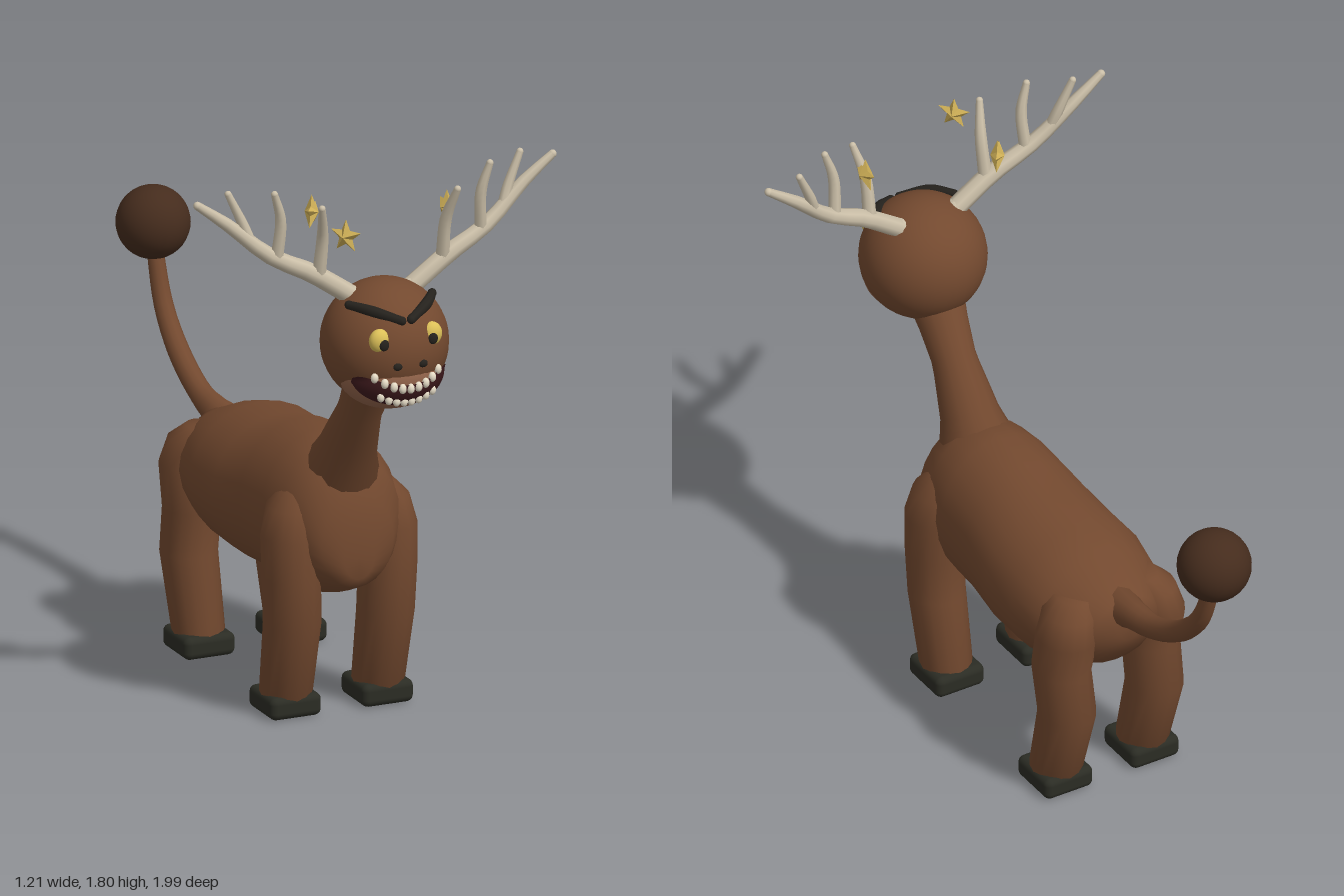
import * as THREE from 'three';
import { mergeGeometries } from 'three/addons/utils/BufferGeometryUtils.js';
import { RoundedBoxGeometry } from 'three/addons/geometries/RoundedBoxGeometry.js';

const V = (x, y, z) => new THREE.Vector3(x, y, z);

// Closed smooth skin over rings of points (each ring counter-clockwise seen from the first end)
function loft(rings) {
  const n = rings[0].length, m = rings.length, pts = rings.flat(), index = [];
  const middle = (r) => r.reduce((s, p) => s.add(p), V(0, 0, 0)).divideScalar(n);
  pts.push(middle(rings[0]), middle(rings[m - 1]));
  for (let j = 0; j < n; j++) {
    const k = (j + 1) % n, last = (m - 1) * n;
    for (let i = 0; i < m - 1; i++) {
      const a = i * n + j, b = i * n + k, c = a + n, d = b + n;
      index.push(a, c, b, b, c, d);
    }
    index.push(m * n, j, k, m * n + 1, last + k, last + j);
  }
  const g = new THREE.BufferGeometry().setFromPoints(pts);
  g.setIndex(index);
  g.computeVertexNormals();
  return g;
}

const ring = (n, f) => Array.from({ length: n }, (_, i) => {
  const a = (i / n) * Math.PI * 2;
  return f(Math.cos(a), Math.sin(a));
});

// Tube through points with a radius at each point and round ends
function taperedTube(points, radii, sides = 10, segs = 16) {
  const curve = new THREE.CatmullRomCurve3(points);
  const g = new THREE.TubeGeometry(curve, segs, 1, sides);
  const pos = g.attributes.position, p = V(0, 0, 0);
  for (let i = 0; i < pos.count; i++) {
    const u = Math.floor(i / (sides + 1)) / segs;
    const c = curve.getPointAt(u);
    const t = curve.getUtoTmapping(u) * (radii.length - 1);
    const k = Math.min(Math.floor(t), radii.length - 2);
    const r = THREE.MathUtils.lerp(radii[k], radii[k + 1], t - k);
    p.fromBufferAttribute(pos, i).sub(c).multiplyScalar(r).add(c);
    pos.setXYZ(i, p.x, p.y, p.z);
  }
  const caps = [0, points.length - 1].map((i) =>
    new THREE.SphereGeometry(radii[i], 10, 8).translate(points[i].x, points[i].y, points[i].z));
  return mergeGeometries([g, ...caps]);
}

// Five-pointed puffed star, facing z
function starGeometry(R, r, depth) {
  const out = [];
  for (let i = 0; i < 10; i++) {
    const at = (k) => {
      const a = Math.PI / 2 + (k * Math.PI) / 5, q = k % 2 ? r : R;
      return V(Math.cos(a) * q, Math.sin(a) * q, 0);
    };
    out.push(V(0, 0, depth), at(i), at(i + 1), V(0, 0, -depth), at(i + 1), at(i));
  }
  const g = new THREE.BufferGeometry().setFromPoints(out);
  g.computeVertexNormals();
  return g;
}

// Height of the face surface (head or muzzle) towards the front
const HEAD = { y: 1.28, z: 0.79, r: 0.196 };
const MUZZLE = { y: 1.2, z: 0.83, rx: 0.165, ry: 0.115, rz: 0.15 };
function faceZ(x, y) {
  const h = HEAD.r ** 2 - x * x - (y - HEAD.y) ** 2;
  const q = 1 - (x / MUZZLE.rx) ** 2 - ((y - MUZZLE.y) / MUZZLE.ry) ** 2;
  return Math.max(HEAD.z + Math.sqrt(Math.max(h, 0)), MUZZLE.z + MUZZLE.rz * Math.sqrt(Math.max(q, 0)));
}

export function createModel() {
  const model = new THREE.Group();
  const material = (name, color, extra = {}) => {
    const m = new THREE.MeshStandardMaterial({ color, ...extra });
    m.name = name;
    return m;
  };
  const fur = material('brown fur', 0x73492f);
  const muzzleFur = material('light muzzle', 0x91634a);
  const tuft = material('dark tuft', 0x452c1d);
  const hoofMat = material('hoof black', 0x2b2c24);
  const horn = material('antler bone', 0xcbbfa8);
  const gold = material('star gold', 0xcfb057);
  const eyeMat = material('eye yellow', 0xdcc058);
  const mouthMat = material('mouth maroon', 0x3d191c, { side: THREE.DoubleSide });
  const toothMat = material('tooth ivory', 0xece2cc);
  const dark = material('dark features', 0x25221d);

  const add = (name, geometry, mat, x = 0, y = 0, z = 0) => {
    const mesh = new THREE.Mesh(geometry, mat);
    mesh.name = name;
    mesh.position.set(x, y, z);
    model.add(mesh);
    return mesh;
  };

  // Body: z, top, bottom, half width
  const bodySections = [
    [0.61, 0.6, 0.46, 0.05], [0.595, 0.72, 0.43, 0.12], [0.54, 0.82, 0.405, 0.17],
    [0.45, 0.865, 0.37, 0.2], [0.35, 0.87, 0.36, 0.212], [0.2, 0.855, 0.355, 0.217],
    [0.05, 0.82, 0.35, 0.235], [-0.1, 0.81, 0.36, 0.24], [-0.22, 0.775, 0.39, 0.22],
    [-0.32, 0.73, 0.45, 0.17], [-0.38, 0.71, 0.52, 0.11], [-0.4, 0.67, 0.57, 0.04],
  ];
  add('body', loft(bodySections.map(([z, t, b, w]) =>
    ring(24, (c, s) => V(c * w, (t + b) / 2 + (s * (t - b)) / 2, z)))), fur);

  // Neck and tail
  add('neck', taperedTube(
    [V(0, 0.7, 0.44), V(0, 0.85, 0.52), V(0, 1.0, 0.61), V(0, 1.12, 0.685), V(0, 1.19, 0.73)],
    [0.15, 0.092, 0.068, 0.078, 0.1], 16), fur);
  add('tail', taperedTube(
    [V(0, 0.655, -0.3), V(0, 0.675, -0.41), V(0, 0.7, -0.54), V(0, 0.785, -0.7), V(0, 0.9, -0.81), V(0, 1.08, -0.88)],
    [0.075, 0.048, 0.036, 0.034, 0.03, 0.025], 12, 20), fur);
  add('tailTuft', new THREE.SphereGeometry(0.114, 28, 20), tuft, 0, 1.14, -0.886);

  // Legs: y, z, x, half width, half depth
  const legs = {
    front: [[0.73, 0.44, 0.12, 0.05, 0.06], [0.67, 0.45, 0.148, 0.08, 0.095], [0.58, 0.46, 0.16, 0.09, 0.105],
      [0.45, 0.465, 0.16, 0.088, 0.1], [0.3, 0.46, 0.155, 0.088, 0.093], [0.04, 0.405, 0.153, 0.08, 0.085]],
    hind: [[0.7, -0.26, 0.12, 0.05, 0.07], [0.66, -0.28, 0.14, 0.08, 0.095], [0.58, -0.288, 0.155, 0.09, 0.106],
      [0.45, -0.262, 0.158, 0.088, 0.1], [0.3, -0.29, 0.155, 0.088, 0.095], [0.04, -0.217, 0.153, 0.08, 0.085]],
  };
  for (const s of [-1, 1]) {
    const side = s > 0 ? 'Left' : 'Right';
    for (const [kind, sections] of Object.entries(legs)) {
      add(kind + side + 'Leg', loft(sections.map(([y, z, x, rx, rz]) =>
        ring(16, (c, n) => V(s * x + c * rx, y, z - n * rz)))), fur);
      add(kind + side + 'Hoof', new RoundedBoxGeometry(0.17, 0.072, 0.18, 3, 0.022), hoofMat,
        s * 0.153, 0.036, kind === 'front' ? 0.405 : -0.22);
    }
  }

  // Head and muzzle
  add('head', new THREE.SphereGeometry(HEAD.r, 36, 26), fur, 0, HEAD.y, HEAD.z);
  add('muzzle', new THREE.SphereGeometry(1, 36, 24), muzzleFur, 0, MUZZLE.y, MUZZLE.z)
    .scale.set(MUZZLE.rx, MUZZLE.ry, MUZZLE.rz);

  // Grinning mouth: thin crescent wrapped on the face
  const mouth = new THREE.PlaneGeometry(2, 2, 32, 6);
  const mp = mouth.attributes.position;
  for (let i = 0; i < mp.count; i++) {
    const u = mp.getX(i), v = mp.getY(i), x = 0.155 * u;
    const y = 1.16 + 0.045 * u * u + v * 0.037 * Math.sqrt(1 - 0.95 * u ** 6);
    mp.setXYZ(i, x, y, faceZ(x, y) + 0.006);
  }
  mouth.computeVertexNormals();
  add('mouth', mouth, mouthMat);

  // Two rows of teeth following the grin
  const toothRow = (name, count, half, base, bend) => {
    for (let i = 0; i < count; i++) {
      const x = half * ((2 * i) / (count - 1) - 1), y = base + bend * x * x;
      add(name, new THREE.SphereGeometry(1, 10, 8), toothMat, x, y, faceZ(x, y) + 0.004)
        .scale.set(0.0125, 0.016, 0.011);
    }
  };
  toothRow('upperTooth', 9, 0.105, 1.184, 3.4);
  toothRow('lowerTooth', 8, 0.085, 1.137, 3);

  for (const s of [-1, 1]) {
    // Eye, pupil, nostril and slanted brow
    add('eye', new THREE.SphereGeometry(1, 20, 14), eyeMat, s * 0.086, 1.336, 0.943).scale.set(0.034, 0.038, 0.026);
    add('pupil', new THREE.SphereGeometry(1, 14, 10), dark, s * 0.081, 1.328, 0.967).scale.set(0.016, 0.018, 0.008);
    add('nostril', new THREE.SphereGeometry(1, 12, 8), dark, s * 0.042, 1.258, faceZ(0.042, 1.258)).scale.set(0.015, 0.012, 0.009);
    add('brow', taperedTube([V(s * 0.138, 1.425, 0.835), V(s * 0.09, 1.418, 0.9), V(s * 0.015, 1.392, 0.95)],
      [0.014, 0.018, 0.014], 8, 8), dark);

    // Antler: main beam and three tines
    const branch = (name, pts, radii) =>
      add(name, taperedTube(pts.map(([x, y, z]) => V(s * x, y, z)), radii, 8, 10), horn);
    branch('antlerBeam', [[0.1, 1.43, 0.765], [0.225, 1.515, 0.76], [0.36, 1.585, 0.745], [0.49, 1.695, 0.725], [0.59, 1.77, 0.722]],
      [0.031, 0.03, 0.025, 0.02, 0.013]);
    branch('innerTine', [[0.205, 1.515, 0.765], [0.205, 1.64, 0.79], [0.225, 1.742, 0.83]], [0.022, 0.019, 0.011]);
    branch('middleTine', [[0.338, 1.58, 0.75], [0.333, 1.7, 0.765], [0.358, 1.79, 0.775]], [0.02, 0.018, 0.011]);
    branch('outerTine', [[0.42, 1.635, 0.735], [0.44, 1.69, 0.725], [0.485, 1.79, 0.715]], [0.018, 0.017, 0.011]);
  }

  // Three floating stars circling the head: x, z, turn
  for (const [x, z, turn] of [[-0.175, 0.645, 0.93], [-0.178, 0.9, -0.93], [0.217, 0.77, Math.PI / 2]])
    add('star', starGeometry(0.054, 0.024, 0.022), gold, x, 1.67, z).rotation.y = turn;

  return model;
}
